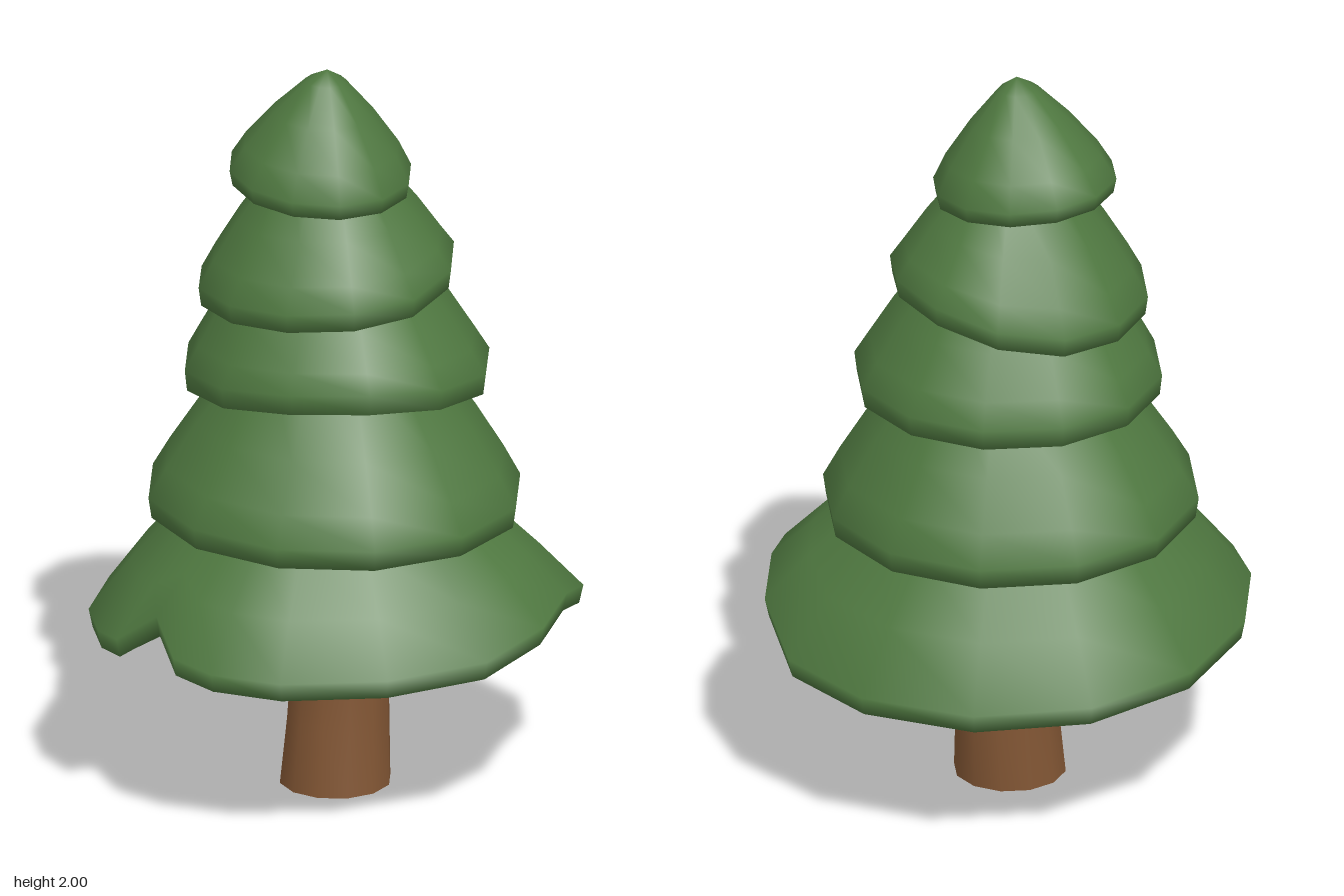
import * as THREE from 'three';
import { mergeVertices } from 'three/addons/utils/BufferGeometryUtils.js';

const leaf = new THREE.MeshStandardMaterial({ color: 0x4f7840, side: THREE.DoubleSide });
const bark = new THREE.MeshStandardMaterial({ color: 0x825634, side: THREE.DoubleSide });
const lerp = THREE.MathUtils.lerp;

// Smooth skin through closed rings of equal length, listed from the top down
function loft(name, rings, material) {
  const n = rings[0].length, index = [];
  for (let i = 0; i < rings.length - 1; i++) {
    for (let j = 0; j < n; j++) {
      const u = i * n + j, v = i * n + (j + 1) % n;
      index.push(u, v, u + n, v, v + n, u + n);
    }
  }
  let geometry = new THREE.BufferGeometry();
  geometry.setAttribute('position', new THREE.Float32BufferAttribute(rings.flat(2), 3));
  geometry.setIndex(index);
  geometry = mergeVertices(geometry, 1e-4);
  geometry.computeVertexNormals();
  const mesh = new THREE.Mesh(geometry, material);
  mesh.name = name;
  return mesh;
}

// Twelve-sided ring whose height is a function of the angle
function ring(cx, cz, r, height) {
  return Array.from({ length: 12 }, (_, i) => {
    const a = i * Math.PI / 6;
    return [cx + r * Math.cos(a), height(a), cz + r * Math.sin(a)];
  });
}

// A skirt of foliage: outer slope, turned-under lip, shallow open underside
function tier(name, { rim, top, topR, slope, lip, roof }) {
  const [tx, ty, tz] = top;
  const row = (s, yOf) => rim.map(([x, y, z]) => {
    const dx = x - tx, dz = z - tz, k = topR / Math.hypot(dx, dz);
    return [lerp(x, tx + dx * k, s), yOf(y), lerp(z, tz + dz * k, s)];
  });
  return loft(name, [
    ...slope.map(([s, u]) => row(s, y => lerp(y, ty, u))),
    row(0, y => y + lip),
    row(0.03, y => y),
    row(0.14, y => lerp(y, roof, 0.12)),
    row(0.8, () => roof),
  ], leaf);
}

export function createModel() {
  const tree = new THREE.Group();
  tree.name = 'tree';

  // Hollow trunk, leaning and bending slightly
  const trunkRings = [[0, 0.74, 0.115], [0.004, 0.5, 0.124], [0.01, 0.34, 0.13],
    [0.004, 0.18, 0.137], [-0.007, 0, 0.148]].map(([x, y, r]) => ring(x, 0, r, () => y));
  tree.add(loft('trunk', trunkRings, bark));

  // Lowest skirt, with a lifted fold at the front and a pinch on one side
  const wavyRim = [
    [0.63, 0.397, -0.02], [0.595, 0.41, 0.255], [0.48, 0.49, 0.43], [0.33, 0.535, 0.53],
    [0.17, 0.505, 0.615], [-0.04, 0.465, 0.625], [-0.3, 0.452, 0.525], [-0.52, 0.45, 0.35],
    [-0.61, 0.452, 0.18], [-0.635, 0.47, 0.06], [-0.585, 0.54, -0.06], [-0.635, 0.46, -0.16],
    [-0.61, 0.45, -0.26], [-0.515, 0.445, -0.4], [-0.3, 0.435, -0.555], [0.01, 0.425, -0.628],
    [0.32, 0.413, -0.545], [0.54, 0.403, -0.325]];
  tree.add(tier('bottomTier', {
    rim: wavyRim, top: [-0.02, 0.9, 0], topR: 0.29, lip: 0.05, roof: 0.57,
    slope: [[1, 1], [0.7, 0.74], [0.32, 0.42]],
  }));

  // Upper skirts, each tilted a little differently
  const slope = [[1, 1], [0.46, 0.57], [0.17, 0.3]];
  tree.add(tier('lowerTier', {
    rim: ring(-0.005, -0.005, 0.498, a => 0.765 - 0.008 * Math.cos(a)),
    top: [0, 1.22, 0], topR: 0.23, lip: 0.055, roof: 0.87, slope,
  }));
  tree.add(tier('middleTier', {
    rim: ring(0, 0, 0.408, a => 1.12 + 0.055 * Math.max(0, Math.cos(a - 2.3)) ** 2),
    top: [-0.02, 1.52, 0], topR: 0.19, lip: 0.055, roof: 1.22, slope,
  }));
  tree.add(tier('upperTier', {
    rim: ring(-0.02, -0.02, 0.342,
      a => 1.365 + 0.055 * Math.max(0, Math.cos(a - 0.35)) ** 2 + 0.02 * Math.sin(a)),
    top: [-0.02, 1.76, -0.01], topR: 0.12, lip: 0.05, roof: 1.48, slope,
  }));
  tree.add(tier('topTier', {
    rim: ring(-0.032, -0.03, 0.243, a => 1.675 - 0.02 * Math.sin(a)),
    top: [-0.035, 2, 0], topR: 0, lip: 0.04, roof: 1.75,
    slope: [[1, 1], [0.78, 0.9], [0.45, 0.63], [0.15, 0.33]],
  }));

  return tree;
}
